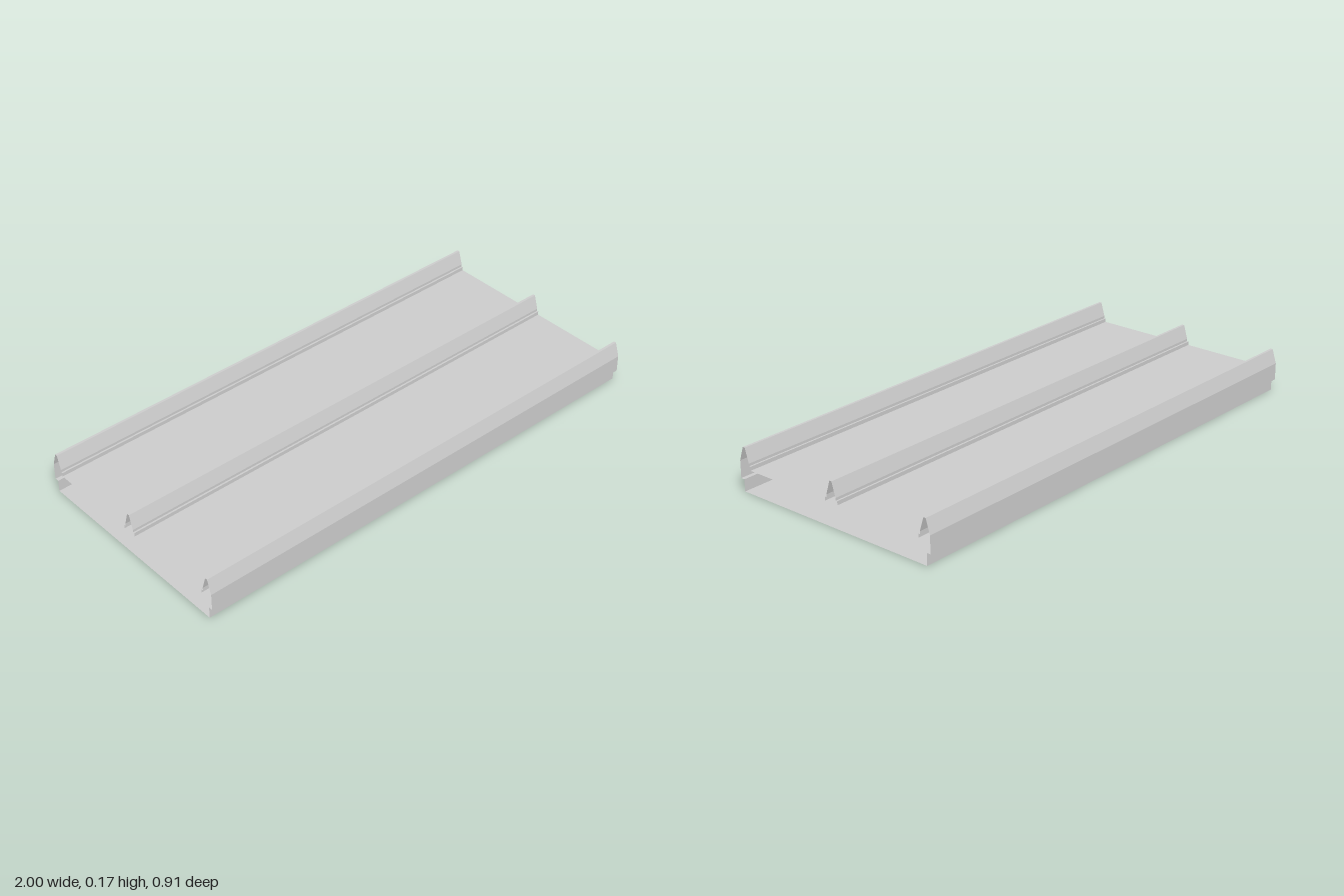
import * as THREE from 'three';

const LENGTH = 2;

// Folds a sheet: sweeps a [z, y] profile along x, leaving both ends open.
function sheet(name, profile, material) {
  const pos = [];
  const h = LENGTH / 2;
  for (let i = 0; i < profile.length - 1; i++) {
    const [z0, y0] = profile[i];
    const [z1, y1] = profile[i + 1];
    pos.push(-h, y0, z0, h, y0, z0, h, y1, z1, -h, y0, z0, h, y1, z1, -h, y1, z1);
  }
  const geometry = new THREE.BufferGeometry();
  geometry.setAttribute('position', new THREE.Float32BufferAttribute(pos, 3));
  geometry.computeVertexNormals();
  const mesh = new THREE.Mesh(geometry, material);
  mesh.name = name;
  return mesh;
}

export function createModel() {
  const group = new THREE.Group();
  group.name = 'ribbedPanel';
  const material = new THREE.MeshStandardMaterial({
    color: 0xcccccc, side: THREE.DoubleSide, flatShading: true,
  });

  const pitch = 0.43; // rib spacing
  const deckY = 0.09;
  const lipY = 0.047;

  // Half a rib, from its crest down to the deck: [offset from centre, height]
  const half = [[0.005, 0.171], [0.022, 0.115], [0.022, 0.105], [0.029, 0.105], [0.029, deckY]];
  const falling = (c) => half.map(([o, y]) => [c - o, y]);
  const rising = (c) => half.map(([o, y]) => [c + o, y]).reverse();

  // Outer edge: return lip, upright face and outer slope of an edge rib
  const edge = [[0.437, lipY], [0.453, lipY], [0.453, 0.115], [0.435, 0.171]];
  const backEdge = edge.map(([z, y]) => [-z, y]).reverse();

  // Top sheet: three raised ribs with flat decks between them
  group.add(sheet('topSheet', [
    ...edge, ...falling(pitch),
    ...rising(0), ...falling(0),
    ...rising(-pitch), ...backEdge,
  ], material));

  // Bottom tray with upturned sides
  group.add(sheet('bottomTray', [[0.437, lipY], [0.437, 0], [-0.437, 0], [-0.437, lipY]], material));

  return group;
}
